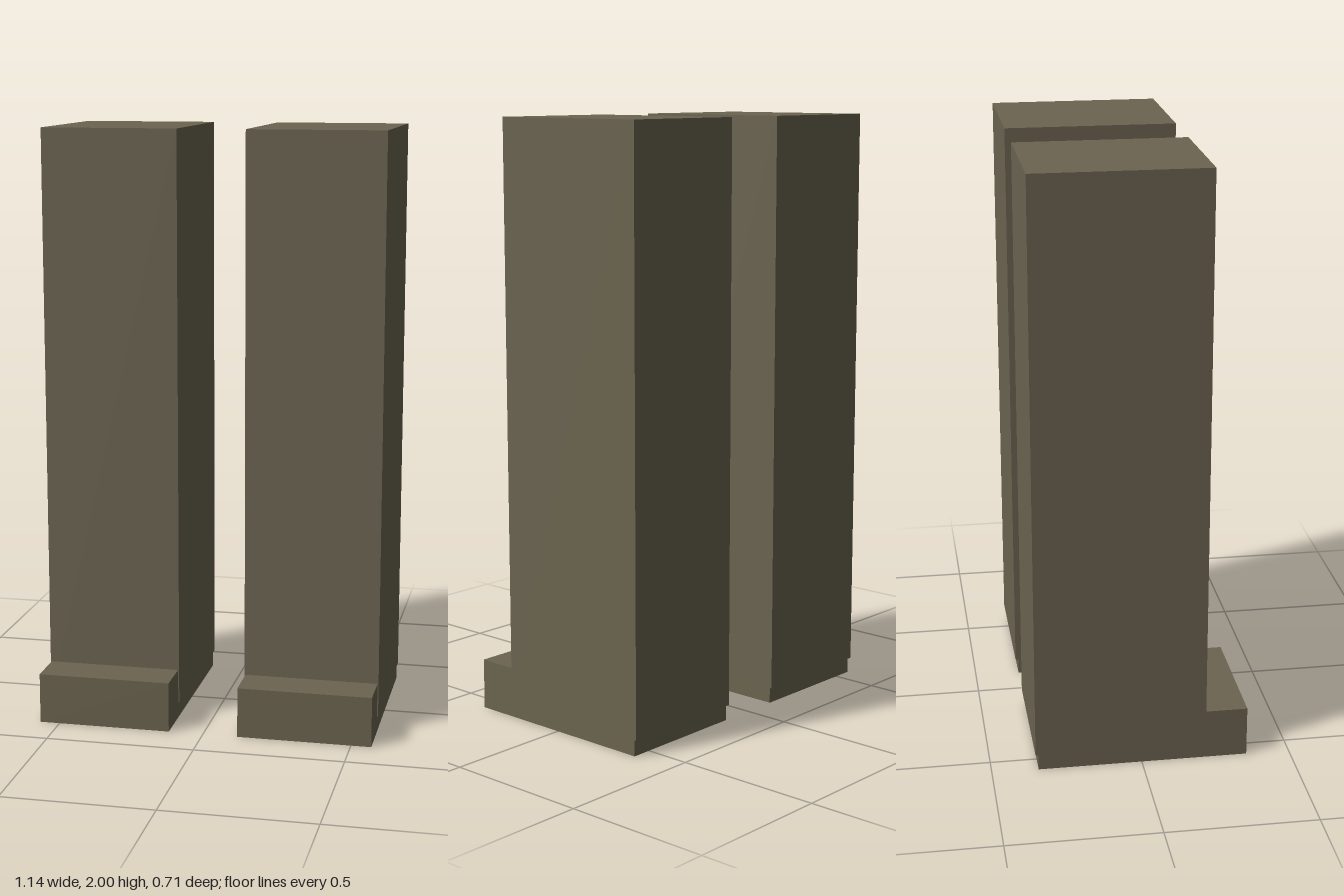
import * as THREE from 'three';

const olive = new THREE.MeshStandardMaterial({ color: 0x6b6450 });
olive.name = 'drab olive';

// Box given by its minimum and maximum corners
function block(name, min, max) {
  const size = max.map((v, i) => v - min[i]);
  const mesh = new THREE.Mesh(new THREE.BoxGeometry(...size), olive);
  mesh.name = name;
  mesh.position.set(...min.map((v, i) => v + size[i] / 2));
  return mesh;
}

export function createModel() {
  const model = new THREE.Group();
  model.name = 'legs';

  for (const [side, sign] of [['left', 1], ['right', -1]]) {
    const leg = new THREE.Group();
    leg.name = side + 'Leg';
    leg.position.x = sign * 0.3425;

    // Trouser leg, slightly wider than the shoe it overhangs
    leg.add(block(side + 'Trouser', [-0.2285, 0.055, -0.355], [0.2285, 2, 0.215]));
    // Shoe with the toe sticking out in front
    leg.add(block(side + 'Shoe', [-0.225, 0, -0.345], [0.225, 0.17, 0.355]));
    model.add(leg);
  }
  return model;
}
